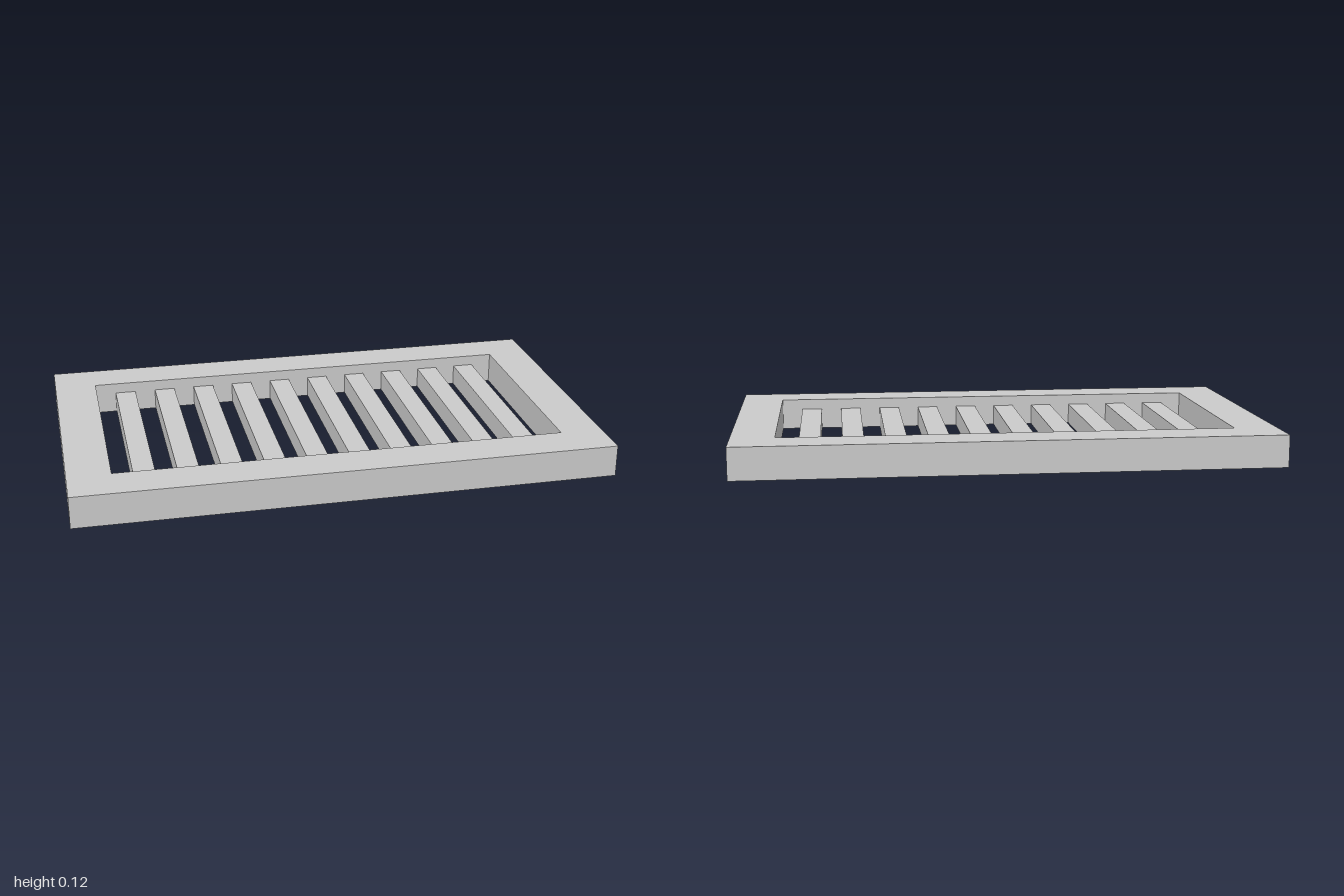
import * as THREE from 'three';

const WIDTH = 2, DEPTH = 1.16, HEIGHT = 0.12;
const OPEN_W = 1.68, OPEN_D = 0.84;
const BAR_COUNT = 10, BAR_W = 0.08, BAR_H = 0.08, PITCH = 0.16;

// Traces a centred rectangle onto a shape or path
function rectangle(path, w, d) {
  path.moveTo(-w / 2, -d / 2);
  path.lineTo(w / 2, -d / 2);
  path.lineTo(w / 2, d / 2);
  path.lineTo(-w / 2, d / 2);
  path.closePath();
  return path;
}

export function createModel() {
  const model = new THREE.Group();
  model.name = 'grate';
  const material = new THREE.MeshStandardMaterial({ color: 0xcccccc });

  // Outer frame with one rectangular opening
  const outline = rectangle(new THREE.Shape(), WIDTH, DEPTH);
  outline.holes.push(rectangle(new THREE.Path(), OPEN_W, OPEN_D));
  const frameGeometry = new THREE.ExtrudeGeometry(outline, { depth: HEIGHT, bevelEnabled: false });
  frameGeometry.rotateX(-Math.PI / 2);
  const frame = new THREE.Mesh(frameGeometry, material);
  frame.name = 'frame';
  model.add(frame);

  // Cross bars, flush with the underside and recessed below the rim
  const bars = new THREE.Group();
  bars.name = 'bars';
  const barGeometry = new THREE.BoxGeometry(BAR_W, BAR_H, OPEN_D);
  for (let i = 0; i < BAR_COUNT; i++) {
    const bar = new THREE.Mesh(barGeometry, material);
    bar.name = `bar${i + 1}`;
    bar.position.set((i - (BAR_COUNT - 1) / 2) * PITCH, BAR_H / 2, 0);
    bars.add(bar);
  }
  model.add(bars);

  return model;
}
